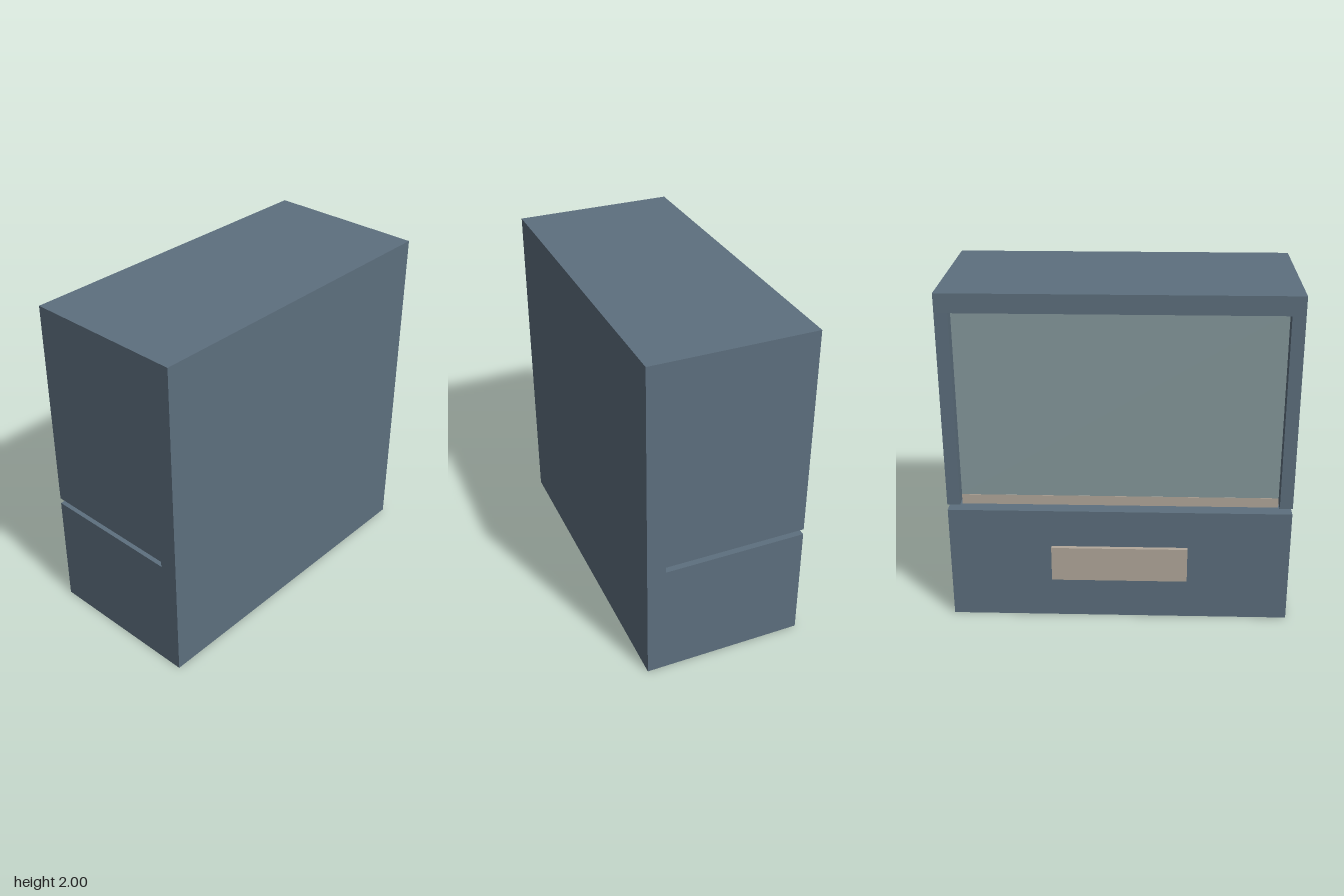
import * as THREE from 'three';

const flat = (name, color) => {
  const m = new THREE.MeshStandardMaterial({ color });
  m.name = name;
  return m;
};

export function createModel() {
  const body = flat('slate blue', 0x5d6f7e);
  const pane = flat('grey green', 0x86999c);
  const trim = flat('warm beige', 0xb2a89b);
  const group = new THREE.Group();
  group.name = 'displayCabinet';

  // Box given by its extents on each axis
  const box = (name, material, [x0, x1], [y0, y1], [z0, z1]) => {
    const mesh = new THREE.Mesh(new THREE.BoxGeometry(x1 - x0, y1 - y0, z1 - z0), material);
    mesh.position.set((x0 + x1) / 2, (y0 + y1) / 2, (z0 + z1) / 2);
    mesh.name = name;
    group.add(mesh);
  };

  const back = -0.465, wall = 0.38, front = 0.49;
  const inner = 0.925;

  // Cabinet shell: full-height panel, solid base, roof and side walls above a narrow slot
  box('frontPanel', body, [-1, 1], [0, 2], [wall, front]);
  box('base', body, [-1, 1], [0, 0.7], [back, wall]);
  box('roof', body, [-1, 1], [1.89, 2], [back, wall]);
  box('leftWall', body, [inner, 1], [0.735, 1.89], [back, wall]);
  box('rightWall', body, [-1, -inner], [0.735, 1.89], [back, wall]);

  // Recessed display panel standing on a beige shelf
  box('shelf', trim, [-inner, inner], [0.705, 0.765], [-0.39, 0.355]);
  box('displayPanel', pane, [-inner, inner], [0.765, 1.89], [-0.388, 0.355]);

  // Plaque on the base
  box('plaque', trim, [-0.4, 0.4], [0.255, 0.47], [-0.49, back]);

  return group;
}
